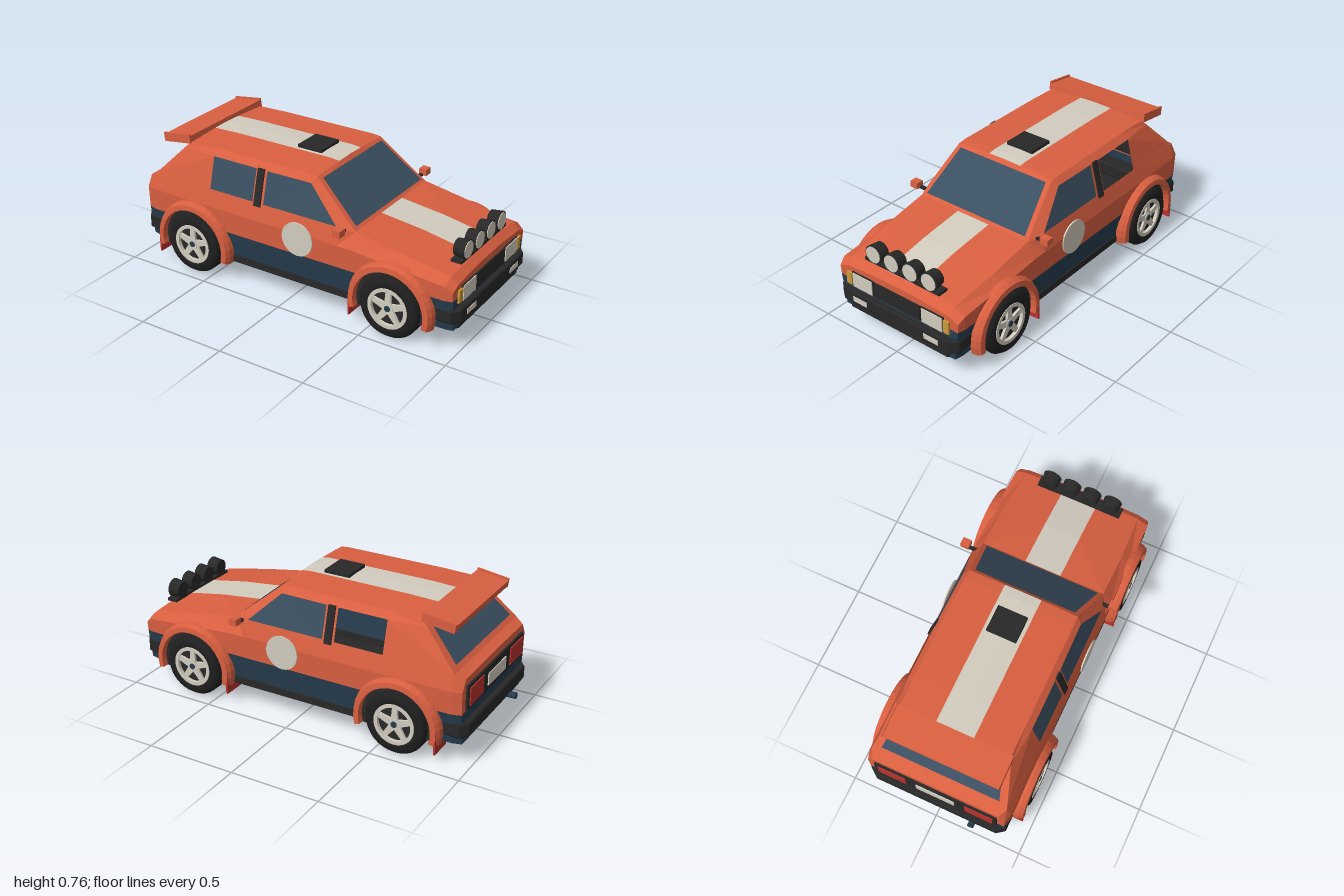
import * as THREE from 'three';

const mat = (name, color, side = THREE.DoubleSide) => {
  const m = new THREE.MeshStandardMaterial({ color, side });
  m.name = name;
  return m;
};

export function createModel() {
  const car = new THREE.Group();
  car.name = 'rallyHatchback';
  const paint = mat('orange paint', 0xd95f40), navy = mat('navy band', 0x263c4e), glass = mat('glass', 0x3a4f60);
  const white = mat('off white', 0xd2ccbe), black = mat('black trim', 0x282828), rubber = mat('tyre rubber', 0x1f1f1f);
  const amber = mat('amber lamp', 0xcc9638), red = mat('red', 0xb8322e);

  const add = (name, geo, material, x = 0, y = 0, z = 0, parent = car) => {
    const mesh = new THREE.Mesh(geo, material);
    mesh.name = name;
    mesh.position.set(x, y, z);
    parent.add(mesh);
    return mesh;
  };
  const box = (name, m, w, h, d, x, y, z) => add(name, new THREE.BoxGeometry(w, h, d), m, x, y, z);
  const both = fn => [1, -1].forEach(fn);

  // Faceted skin over a grid of points; pick(i, j, side) gives each cell its material or null
  const skin = (name, grid, pick, sides = [1, -1], parent = car) => {
    const bins = new Map();
    for (const s of sides) for (let i = 0; i < grid.length - 1; i++) for (let j = 0; j < grid[i].length - 1; j++) {
      const m = pick(i, j, s);
      if (!m) continue;
      const q = [grid[i][j], grid[i + 1][j], grid[i + 1][j + 1], grid[i][j + 1]];
      const order = s > 0 ? [0, 1, 2, 0, 2, 3] : [0, 2, 1, 0, 3, 2];
      if (!bins.has(m)) bins.set(m, []);
      for (const k of order) bins.get(m).push(q[k][0], q[k][1], q[k][2] * s);
    }
    const geo = new THREE.BufferGeometry(), all = [], mats = [...bins.keys()];
    mats.forEach((m, k) => {
      const a = bins.get(m);
      geo.addGroup(all.length / 3, a.length / 3, k);
      for (const v of a) all.push(v);
    });
    geo.setAttribute('position', new THREE.Float32BufferAttribute(all, 3));
    geo.computeVertexNormals();
    return add(name, geo, mats, 0, 0, 0, parent);
  };

  // Lower body: x, half width, shoulder y, belt y, belt z, centre y
  const stations = [
    [-0.95, 0.39, 0.42, 0.48, 0.36, 0.485], [-0.9, 0.405, 0.42, 0.505, 0.385, 0.505],
    ...[-0.51, -0.23, -0.16, 0.31].map(x => [x, 0.41, 0.42, 0.5, 0.395, 0.5]),
    [0.39, 0.41, 0.42, 0.5, 0.36, 0.5], [0.65, 0.41, 0.4, 0.455, 0.36, 0.47],
    [0.93, 0.405, 0.375, 0.405, 0.345, 0.42], [0.97, 0.395, 0.345, 0.37, 0.34, 0.385],
  ];
  const lower = stations.map(([x, w, my, by, bz, cy]) => [
    [x, 0.12, 0], [x, 0.12, w * 0.94], [x, 0.295, w], [x, my, w + 0.004],
    [x, by, bz], [x, cy, 0.105], [x, cy, 0],
  ]);
  skin('lowerBody', lower, (i, j) => {
    if (j === 0) return black;
    if (j === 1) return navy;
    if (j < 4) return paint;
    if (i > 0 && i < 6) return null;
    return j === 5 && (i === 6 || i === 7) ? white : paint;
  });
  for (const [name, k] of [['tailPanel', 0], ['nosePanel', 9]]) {
    const ring = lower[k].slice(1, 6);
    skin(name, ring.map(p => [p, [p[0], p[1], 0]]), i => (i === 0 ? navy : paint));
  }

  // Cabin sides, with the rear quarter window left open on one side
  const belt = lower.slice(1, 7).map(r => r[4]);
  const topX = [-0.72, -0.51, -0.23, -0.16, 0.11, 0.165], topZ = [0.325, 0.345, 0.345, 0.345, 0.34, 0.317];
  const roofX = [-0.69, -0.51, -0.23, -0.16, 0.08, 0.13];
  const cabin = belt.map((b, i) => {
    const top = [topX[i], 0.69, topZ[i]];
    const low = b.map((v, k) => v + (top[k] - v) * 0.08);
    return [b, low, top, [roofX[i], i % 5 ? 0.725 : 0.72, 0.312]];
  });
  skin('cabinSides', cabin, (i, j, s) => {
    if (j !== 1 || (i !== 1 && i !== 3)) return paint;
    return i === 1 && s < 0 ? null : glass;
  });
  const roof = cabin.map(c => [c[3], [c[3][0], c[3][1] + 0.01, 0.105], [c[3][0], c[3][1] + 0.013, 0]]);
  skin('roof', roof, (i, j) => (j === 1 ? white : paint));
  for (const [name, k] of [['hatchFrame', 0], ['windscreenFrame', 5]]) {
    const edge = cabin[k].slice(0, 3).map(p => [p, [p[0], p[1], 0.105], [p[0], p[1], 0]]);
    skin(name, [...edge, roof[k]], () => paint);
  }
  const pane = (name, x0, y0, z0, x1, y1, z1) =>
    skin(name, [[[x0, y0, z0], [x0, y0, 0]], [[x1, y1, z1], [x1, y1, 0]]], () => glass);
  pane('windscreen', 0.378, 0.516, 0.333, 0.149, 0.71, 0.287);
  pane('rearWindow', -0.884, 0.532, 0.335, -0.717, 0.702, 0.285);

  // Roof vent and rear wing
  box('roofVent', black, 0.15, 0.018, 0.17, -0.07, 0.744, 0);
  box('rearWing', paint, 0.18, 0.035, 0.64, -0.778, 0.725, 0).rotation.z = 0.14;
  both(s => (box('wingEndPlate', paint, 0.18, 0.05, 0.012, -0.778, 0.727, s * 0.322).rotation.z = 0.14));

  // Bumpers with chamfered corners
  const bumper = (name, x, dir, y0, y1, half) => {
    const s = new THREE.Shape([[-0.08, -half], [0, -half], [0.03, -half + 0.04], [0.03, half - 0.04], [0, half], [-0.08, half]]
      .map(p => new THREE.Vector2(p[0] * dir, p[1])));
    const g = new THREE.ExtrudeGeometry(s, { depth: y1 - y0 - 0.016, bevelThickness: 0.008, bevelSize: 0.006, bevelSegments: 1 });
    g.rotateX(-Math.PI / 2);
    add(name, g, black, x, y0 + 0.008, 0);
  };
  bumper('frontBumper', 0.963, 1, 0.165, 0.242, 0.392);
  bumper('frontLip', 0.945, 1, 0.115, 0.165, 0.365);
  bumper('rearBumper', -0.944, -1, 0.165, 0.245, 0.392);

  // Nose and tail details
  box('grille', black, 0.014, 0.086, 0.31, 0.972, 0.303, 0);
  box('tailTrim', black, 0.02, 0.135, 0.7, -0.952, 0.375, 0);
  box('plate', white, 0.008, 0.07, 0.22, -0.964, 0.37, 0);
  both(s => {
    box('headlightFrame', black, 0.012, 0.092, 0.146, 0.971, 0.303, s * 0.235);
    box('headlight', white, 0.014, 0.082, 0.134, 0.975, 0.303, s * 0.235);
    box('indicator', amber, 0.024, 0.072, 0.036, 0.97, 0.302, s * 0.328);
    box('fogLight', white, 0.008, 0.03, 0.095, 0.998, 0.2, s * 0.242);
    box('tailLight', red, 0.008, 0.1, 0.16, -0.964, 0.375, s * 0.25);
  });
  add('exhaust', new THREE.CylinderGeometry(0.018, 0.018, 0.12, 12).rotateZ(Math.PI / 2), navy, -0.94, 0.133, 0.21);

  // Bonnet lamp pod
  box('lampBar', black, 0.06, 0.016, 0.5, 0.905, 0.434, 0);
  for (const z of [-0.185, -0.062, 0.062, 0.185]) {
    add('rallyLampShell', new THREE.CylinderGeometry(0.053, 0.045, 0.064, 20).rotateZ(-Math.PI / 2), black, 0.905, 0.482, z);
    add('rallyLampLens', new THREE.CylinderGeometry(0.046, 0.046, 0.006, 20).rotateZ(-Math.PI / 2), white, 0.938, 0.482, z);
  }

  // Side trim
  both(s => {
    box('sill', black, 0.83, 0.04, 0.02, 0.015, 0.14, s * 0.388);
    const pillar = box('doorPillar', black, 0.042, 0.205, 0.012, -0.196, 0.597, s * 0.372);
    pillar.rotation.x = -s * 0.26;
    add('doorRoundel', new THREE.CylinderGeometry(0.095, 0.095, 0.008, 28).rotateX(Math.PI / 2), white, 0.07, 0.388, s * 0.415);
    box('mirrorStalk', black, 0.02, 0.012, 0.06, 0.335, 0.503, s * 0.405);
    box('mirror', paint, 0.045, 0.036, 0.05, 0.342, 0.517, s * 0.441);
  });

  // Wheels, flares and mud flaps
  const tyreProfile = [[0.105, 0.055], [0.118, 0.065], [0.155, 0.065], [0.174, 0.04], [0.174, -0.04], [0.155, -0.065], [0.02, -0.065]]
    .map(p => new THREE.Vector2(...p));
  const rimShape = new THREE.Shape().absarc(0, 0, 0.114, 0, Math.PI * 2);
  rimShape.holes.push(new THREE.Path().absarc(0, 0, 0.094, 0, Math.PI * 2));
  const wellShape = new THREE.Shape().absarc(0, 0, 0.203, -0.26, Math.PI + 0.26);
  const spokeShape = new THREE.Shape([[0.02, -0.02], [0.1, -0.013], [0.1, 0.013], [0.02, 0.02]].map(p => new THREE.Vector2(...p)));
  const flareProfile = [[0.248, 0.395], [0.244, 0.425], [0.232, 0.45], [0.203, 0.453], [0.197, 0.4]];
  for (const x of [-0.61, 0.635]) both(s => {
    const wheel = new THREE.Group();
    wheel.name = 'wheel';
    wheel.position.set(x, 0.174, s * 0.385);
    if (s < 0) wheel.rotation.y = Math.PI;
    car.add(wheel);
    add('tyre', new THREE.LatheGeometry(tyreProfile, 32).rotateX(Math.PI / 2), rubber, 0, 0, 0, wheel);
    add('rimBack', new THREE.CircleGeometry(0.108, 28), black, 0, 0, 0.04, wheel);
    add('rimRing', new THREE.ExtrudeGeometry(rimShape, { depth: 0.02, bevelEnabled: false, curveSegments: 20 }), white, 0, 0, 0.046, wheel);
    for (let k = 0; k < 5; k++) {
      const g = new THREE.ExtrudeGeometry(spokeShape, { depth: 0.014, bevelEnabled: false });
      add('spoke', g, white, 0, 0, 0.045, wheel).rotation.z = Math.PI / 2 + k * Math.PI * 0.4;
    }
    add('hub', new THREE.CylinderGeometry(0.03, 0.03, 0.02, 16).rotateX(Math.PI / 2), white, 0, 0, 0.052, wheel);
    add('hubCap', new THREE.CylinderGeometry(0.017, 0.017, 0.012, 12).rotateX(Math.PI / 2), navy, 0, 0, 0.06, wheel);
    add('wheelWell', new THREE.ShapeGeometry(wellShape, 20), black, x, 0.174, s * 0.419);
    const arch = [];
    for (let k = 0; k <= 20; k++) {
      const a = -0.26 + (Math.PI + 0.52) * k / 20;
      arch.push(flareProfile.map(([r, z]) => [x + r * Math.cos(a), 0.174 + r * Math.sin(a), z]));
    }
    skin('wheelFlare', arch, () => paint, [s]);
    box('mudFlap', red, 0.01, 0.115, 0.13, x - 0.228, 0.125, s * 0.385);
  });
  return car;
}
